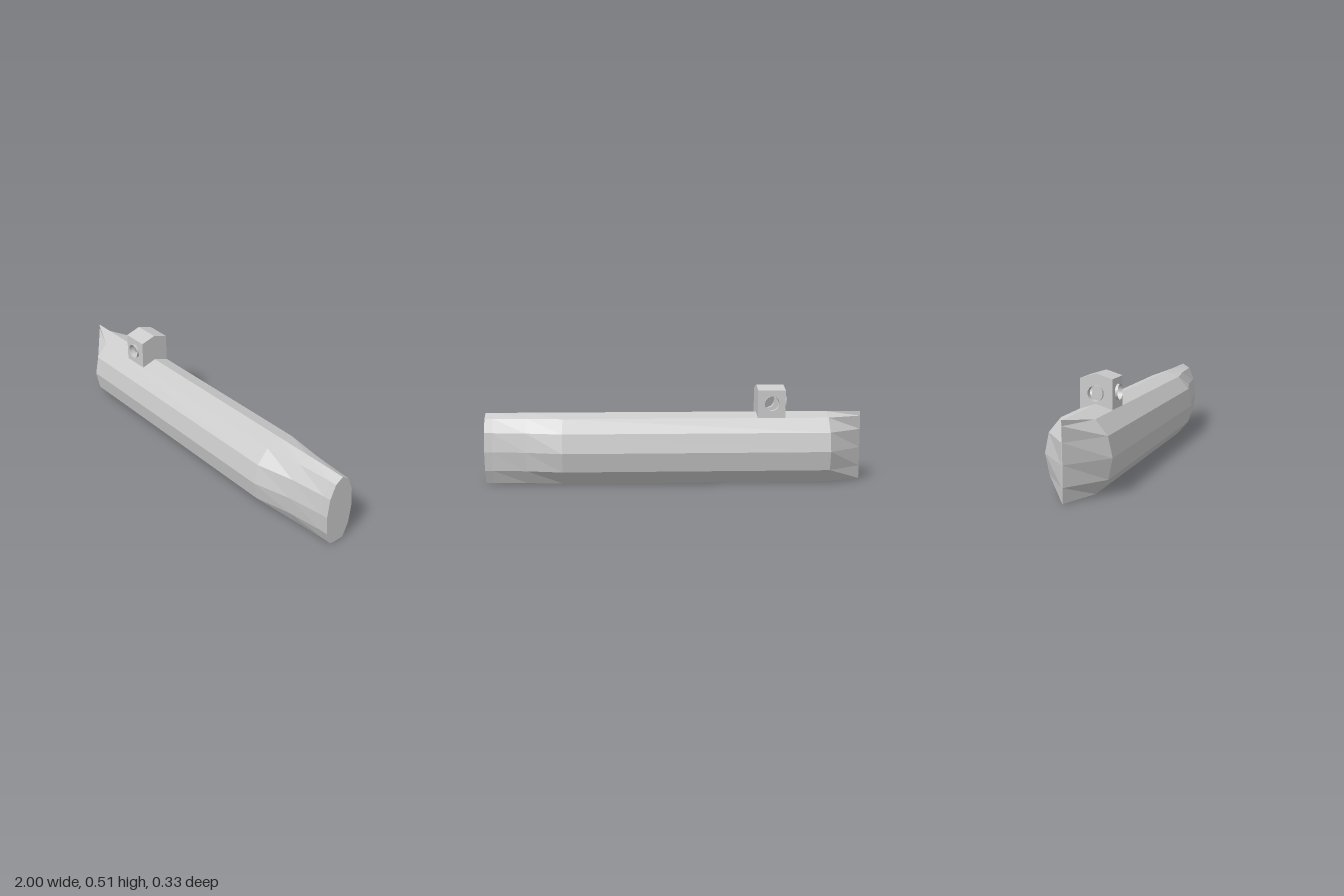
import * as THREE from 'three';

const flat = new THREE.MeshStandardMaterial({ color: 0xcccccc, flatShading: true, side: THREE.DoubleSide });
const smooth = new THREE.MeshStandardMaterial({ color: 0xcccccc, side: THREE.DoubleSide });

function add(parent, name, geometry, material = flat) {
  const mesh = new THREE.Mesh(geometry, material);
  mesh.name = name;
  parent.add(mesh);
  return mesh;
}

// Faceted hull: one section, narrowed in z at each station along x
function hullGeometry() {
  const half = [[0.082, 0.344], [0.142, 0.272], [0.163, 0.173], [0.142, 0.073], [0.082, 0.002]];
  const ring = [[0, 0.37], ...half, [0, 0], ...half.map(([z, y]) => [-z, y]).reverse()];
  const stations = [[-1, 0.015], [-0.81, 1], [0.59, 1], [0.78, 0.68], [0.96, 0.51], [1, 0.5]];
  const n = ring.length;
  const pos = [], index = [];
  for (const [x, s] of stations) for (const [z, y] of ring) pos.push(x, y, z * s);
  for (let i = 0; i < stations.length - 1; i++) {
    for (let j = 0; j < n; j++) {
      const a = i * n + j, b = i * n + (j + 1) % n;
      index.push(a, b, b + n, a, b + n, a + n);
    }
  }
  // End caps
  const last = (stations.length - 1) * n;
  for (let j = 1; j < n - 1; j++) {
    index.push(last, last + j, last + j + 1);
    index.push(0, j + 1, j);
  }
  const g = new THREE.BufferGeometry();
  g.setAttribute('position', new THREE.Float32BufferAttribute(pos, 3));
  g.setIndex(index);
  g.computeVertexNormals();
  return g;
}

// Hollow tower with gabled roof and three portholes
function createTower() {
  const tower = new THREE.Group();
  tower.name = 'tower';
  const cx = -0.507, hx = 0.073, hz = 0.081;
  const base = 0.34, eave = 0.49, ridge = 0.515, holeY = 0.421, r = 0.038;

  const wall = (points, hasHole) => {
    const shape = new THREE.Shape(points.map(([x, y]) => new THREE.Vector2(x, y)));
    if (hasHole) shape.holes.push(new THREE.Path().absarc(0, holeY, r, 0, Math.PI * 2, true));
    return new THREE.ShapeGeometry(shape, 24);
  };
  const side = [[-hx, base], [hx, base], [hx, eave], [-hx, eave]];
  const gable = [[-hz, base], [hz, base], [hz, eave], [0, ridge], [-hz, eave]];

  // Each wall faces +z in its own frame, then turns about the tower axis
  const walls = [
    ['frontWall', side, 0, hz, true],
    ['backWall', side, Math.PI, hz, true],
    ['bowWall', gable, -Math.PI / 2, hx, true],
    ['sternWall', gable, Math.PI / 2, hx, false],
  ];
  for (const [name, points, turn, distance, hasHole] of walls) {
    const group = new THREE.Group();
    group.name = name;
    group.position.x = cx;
    group.rotation.y = turn;
    add(group, name + 'Panel', wall(points, hasHole)).position.z = distance;
    if (hasHole) {
      const tube = new THREE.CylinderGeometry(r, r, 0.033, 24, 1, true).rotateX(Math.PI / 2);
      add(group, 'porthole', tube, smooth).position.set(0, holeY, distance - 0.0035);
    }
    tower.add(group);
  }

  // Roof slopes
  const rise = ridge - eave;
  for (const s of [1, -1]) {
    const slope = new THREE.PlaneGeometry(2 * hx, Math.hypot(hz, rise));
    slope.rotateX(-Math.PI / 2 + Math.atan2(rise, hz) * s);
    add(tower, 'roofSlope', slope).position.set(cx, (eave + ridge) / 2, s * hz / 2);
  }
  return tower;
}

export function createModel() {
  const model = new THREE.Group();
  model.name = 'submarine';
  add(model, 'hull', hullGeometry());
  model.add(createTower());
  return model;
}
